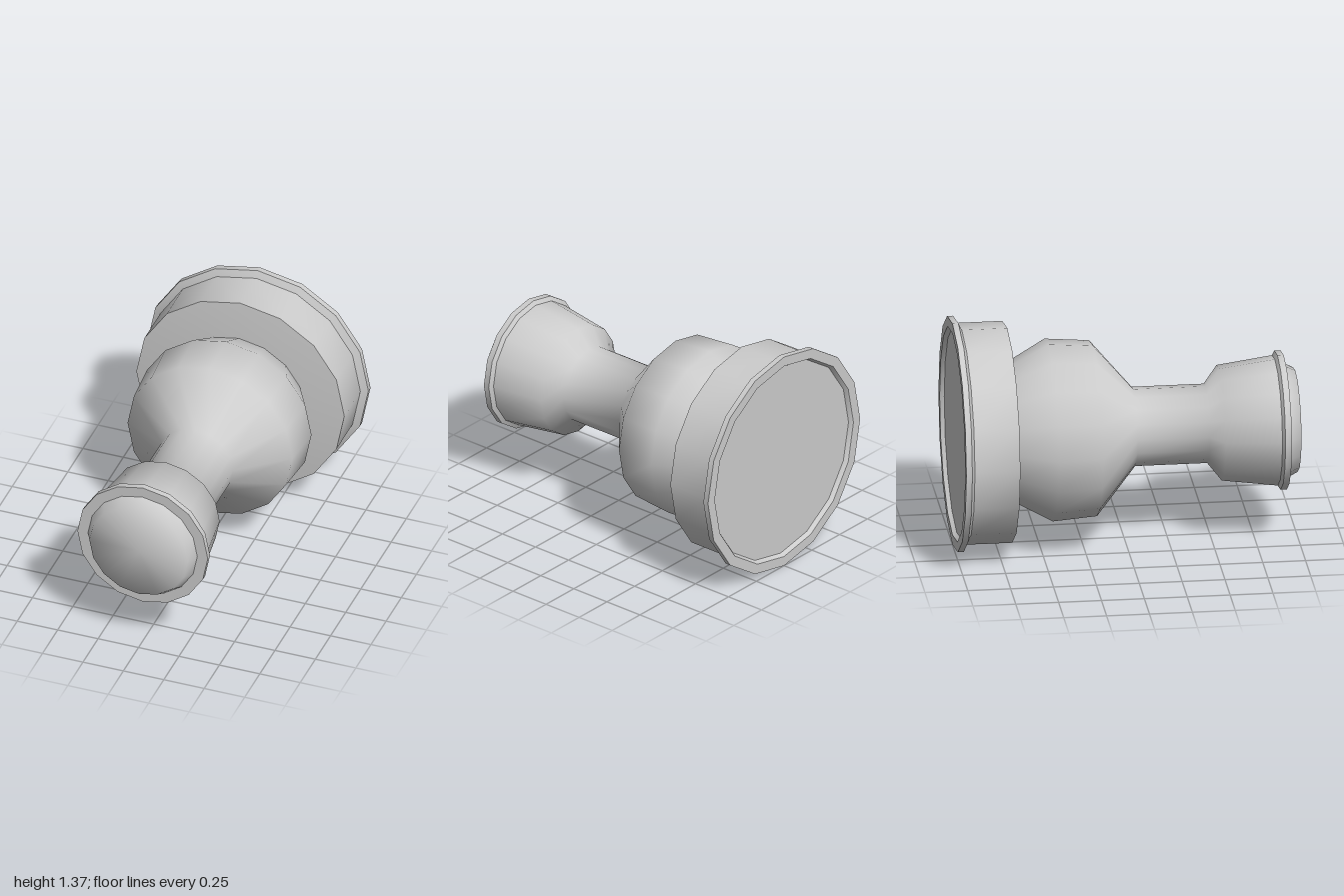
import * as THREE from 'three';
import { toCreasedNormals } from 'three/addons/utils/BufferGeometryUtils.js';

const SIDES = 16;
const AXIS_HEIGHT = 0.685;

// Turned part around the z axis; profile is [radius, z] from back to front
function turned(name, profile, crease) {
  const points = profile.map(([r, z]) => new THREE.Vector2(r, z));
  const geometry = new THREE.LatheGeometry(points, SIDES).rotateX(Math.PI / 2);
  const material = new THREE.MeshStandardMaterial({ color: 0xcccccc, side: THREE.DoubleSide });
  const mesh = new THREE.Mesh(toCreasedNormals(geometry, crease), material);
  mesh.name = name;
  mesh.position.y = AXIS_HEIGHT;
  return mesh;
}

export function createModel() {
  const group = new THREE.Group();
  group.name = 'turnedKnob';

  // Wide base drum with a recessed back and a rear lip
  group.add(turned('baseDrum', [
    [0, -0.975], [0.61, -0.975], [0.625, -1], [0.685, -1], [0.685, -0.965],
    [0.643, -0.945], [0.643, -0.68], [0.41, -0.655], [0, -0.655],
  ], 0.7));

  // Round bulb narrowing into the neck and flaring to the head
  group.add(turned('bulbAndNeck', [
    [0.41, -0.655], [0.53, -0.44], [0.51, -0.18], [0.23, 0.055],
    [0.23, 0.475], [0.335, 0.555], [0.378, 0.88],
  ], 1.1));

  // Thin rim around the head
  group.add(turned('headRim', [
    [0.378, 0.88], [0.403, 0.895], [0.403, 0.932], [0.338, 0.932],
  ], 0.9));

  // Softly shaded front cap
  group.add(turned('frontCap', [
    [0.338, 0.932], [0.303, 1], [0, 1],
  ], 1.4));

  return group;
}
